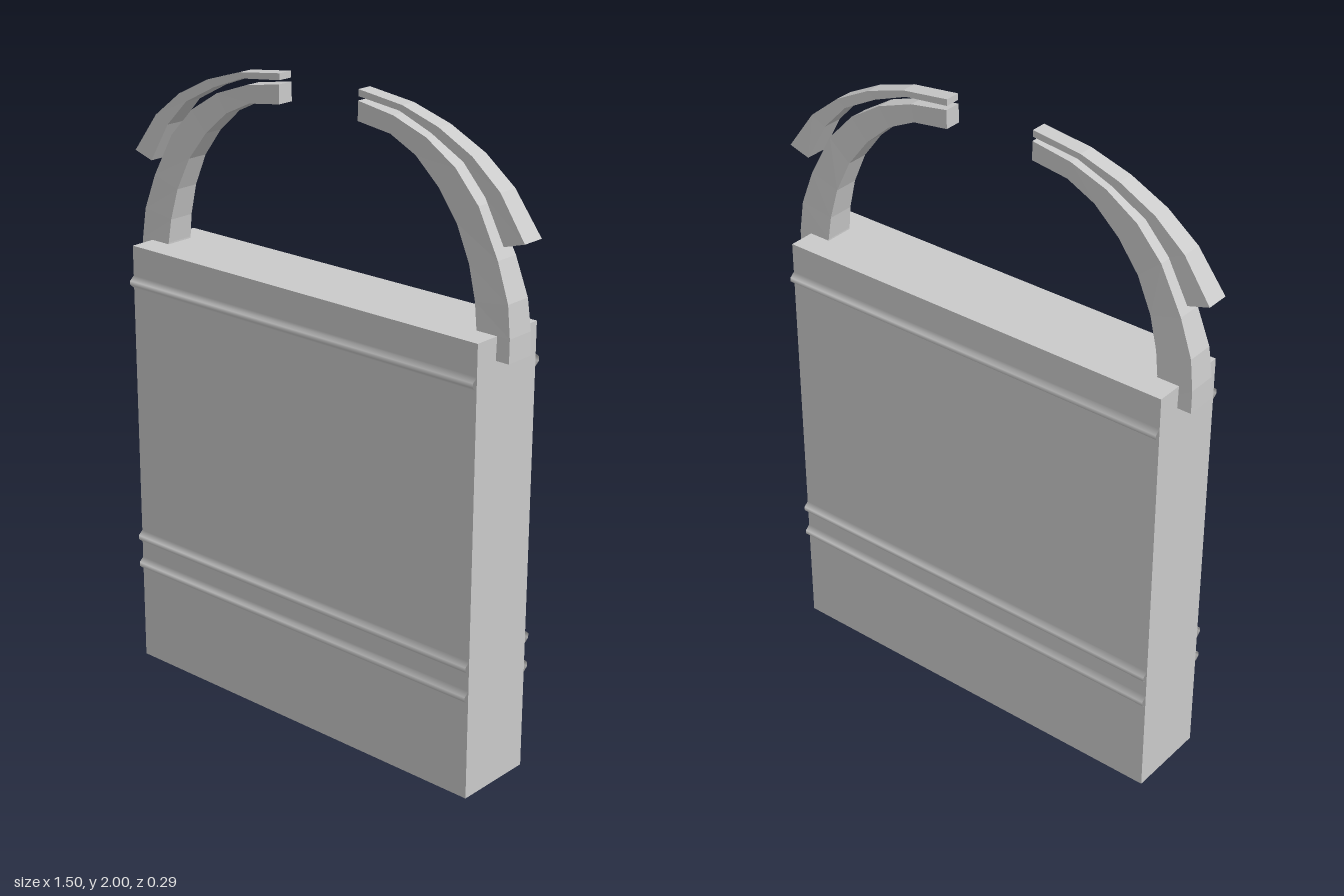
import * as THREE from 'three';

const WIDTH = 1.35, HEIGHT = 1.405, DEPTH = 0.262;

// [outer x, outer y, inner x, inner y] from the free tip down to the root
const handleBand = [
  [0.15, 1.968, 0.15, 1.91], [0.28, 1.947, 0.27, 1.894], [0.4, 1.905, 0.363, 1.85],
  [0.505, 1.84, 0.447, 1.777], [0.59, 1.75, 0.517, 1.688], [0.664, 1.613, 0.566, 1.585],
  [0.706, 1.5, 0.593, 1.485], [0.718, 1.405, 0.603, 1.41], [0.72, 1.335, 0.605, 1.335],
];
const outerStrip = [
  [0.15, 2, 0.15, 1.98], [0.31, 1.98, 0.3, 1.963], [0.44, 1.94, 0.415, 1.92],
  [0.56, 1.88, 0.53, 1.86], [0.66, 1.8, 0.61, 1.777], [0.75, 1.676, 0.68, 1.655],
];

// Curved bar of rectangular section that thickens towards its root
function curvedBar(stations, side, closedRoot) {
  const rings = stations.map(([ox, oy, ix, iy]) => {
    const w = 0.024 + 0.039 * (2 - (oy + iy) / 2);
    return [[ox, oy, w], [ox, oy, -w], [ix, iy, -w], [ix, iy, w]].map(([x, y, z]) => [x * side, y, z]);
  });
  const pos = [];
  const quad = (a, b, c, d) => {
    const corners = side > 0 ? [a, b, c, a, c, d] : [a, c, b, a, d, c];
    corners.forEach((p) => pos.push(...p));
  };
  for (let i = 0; i < rings.length - 1; i++) {
    for (let k = 0; k < 4; k++) {
      const n = (k + 1) % 4;
      quad(rings[i][k], rings[i + 1][k], rings[i + 1][n], rings[i][n]);
    }
  }
  const first = rings[0], last = rings[rings.length - 1];
  quad(first[0], first[1], first[2], first[3]);
  if (closedRoot) quad(last[3], last[2], last[1], last[0]);
  const geo = new THREE.BufferGeometry();
  geo.setAttribute('position', new THREE.Float32BufferAttribute(pos, 3));
  geo.computeVertexNormals();
  return geo;
}

// Small moulding pressed out of the wall, shaded smoothly into it
function ribGeometry() {
  const geo = new THREE.PlaneGeometry(WIDTH, 0.04, 1, 3);
  const pos = geo.attributes.position;
  const isEdge = (i) => Math.abs(pos.getY(i)) > 0.015;
  for (let i = 0; i < pos.count; i++) pos.setZ(i, isEdge(i) ? 0 : 0.016);
  geo.computeVertexNormals();
  for (let i = 0; i < pos.count; i++) if (isEdge(i)) geo.attributes.normal.setXYZ(i, 0, 0, 1);
  geo.translate(0, 0, DEPTH / 2);
  return geo;
}

export function createModel() {
  const model = new THREE.Group();
  const grey = new THREE.MeshStandardMaterial({ color: 0xcacaca, side: THREE.DoubleSide });
  grey.name = 'plain grey';
  const add = (name, geo) => {
    const mesh = new THREE.Mesh(geo, grey);
    mesh.name = name;
    model.add(mesh);
    return mesh;
  };

  // Thin-walled body, open at the bottom
  const body = new THREE.BoxGeometry(WIDTH, HEIGHT, DEPTH);
  const faces = Array.from(body.index.array);
  faces.splice(18, 6);
  body.setIndex(faces);
  body.clearGroups();
  body.translate(0, HEIGHT / 2, 0);
  add('body', body);

  // Three ribs on the front and three on the back
  const rib = ribGeometry();
  for (const y of [0.332, 0.427, 1.289]) {
    add('frontRib', rib).position.y = y;
    const back = add('backRib', rib);
    back.position.y = y;
    back.rotation.y = Math.PI;
  }

  // Split handle: an arched half and its open-ended outer strip on each side
  for (const [side, label] of [[1, 'left'], [-1, 'right']]) {
    add(label + 'Handle', curvedBar(handleBand, side, true));
    add(label + 'HandleStrip', curvedBar(outerStrip, side, false));
  }
  return model;
}
